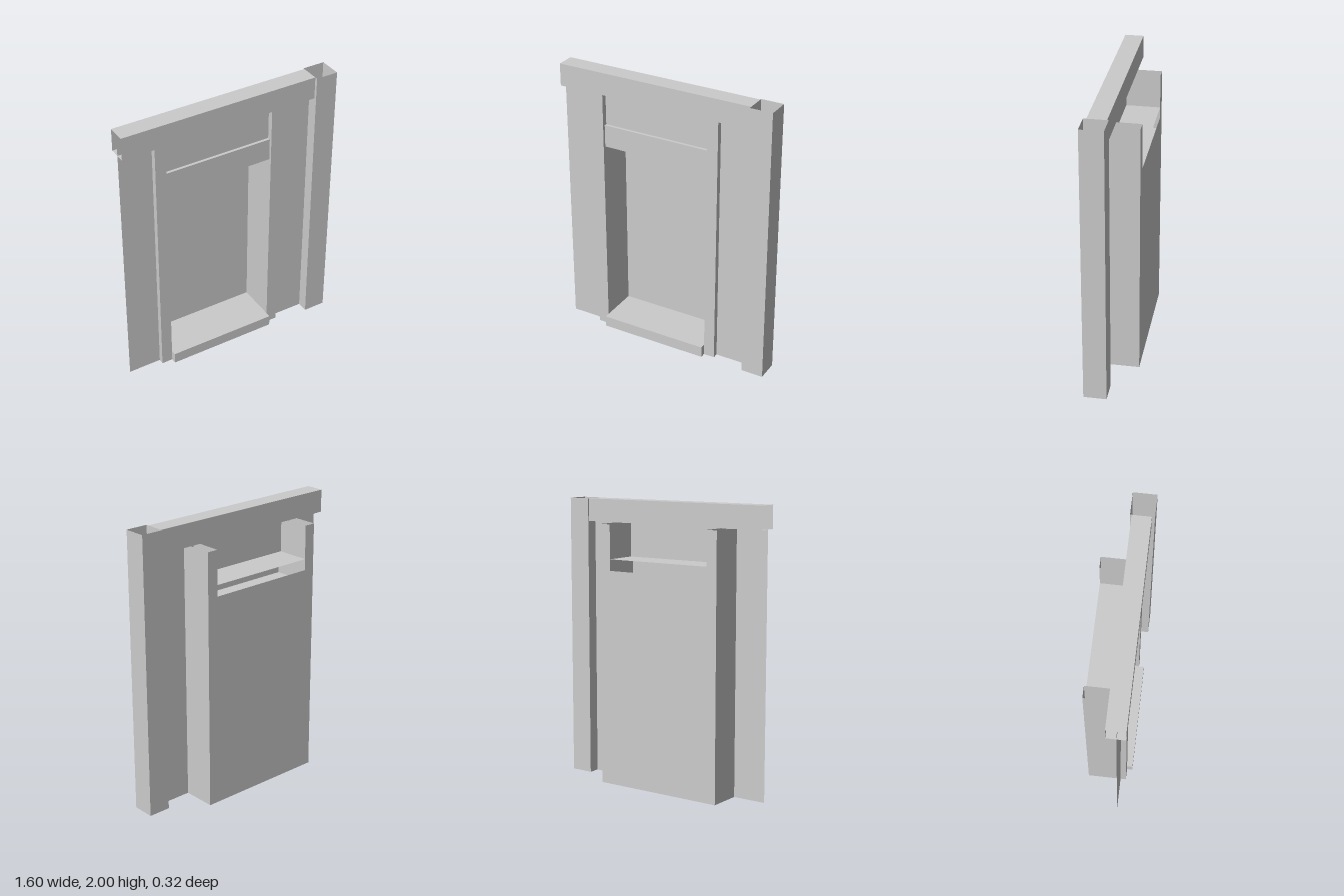
import * as THREE from 'three';

const material = new THREE.MeshStandardMaterial({ color: 0xcccccc, flatShading: true, side: THREE.DoubleSide });
const SIDES = ['right', 'left', 'top', 'bottom', 'front', 'back']; // +x -x +y -y +z -z

// Box between two corners, with the sides in `open` left out.
function openBox(name, [x0, x1], [y0, y1], [z0, z1], open = []) {
  const geometry = new THREE.BoxGeometry(x1 - x0, y1 - y0, z1 - z0);
  const all = Array.from(geometry.index.array);
  const kept = SIDES.flatMap((side, i) => (open.includes(side) ? [] : all.slice(i * 6, i * 6 + 6)));
  geometry.setIndex(kept);
  geometry.clearGroups();
  geometry.translate((x0 + x1) / 2, (y0 + y1) / 2, (z0 + z1) / 2);
  const mesh = new THREE.Mesh(geometry, material);
  mesh.name = name;
  return mesh;
}

// Flat sheet facing +z, from an outline of x, y corners.
function sheet(name, corners, z) {
  const shape = new THREE.Shape(corners.map(([x, y]) => new THREE.Vector2(x, y)));
  const mesh = new THREE.Mesh(new THREE.ShapeGeometry(shape), material);
  mesh.position.z = z;
  mesh.name = name;
  return mesh;
}

export function createModel() {
  const model = new THREE.Group();
  model.name = 'wallSectionWithNiche';

  const niche = [-0.48, 0.32]; // width of the recess
  const depth = -0.16; // back of the recess

  // Thin wall with the niche opening cut up from the floor
  model.add(sheet('wallPanel', [
    [-0.8, 0], [niche[0], 0], [niche[0], 1.6], [niche[1], 1.6],
    [niche[1], 0], [0.64, 0], [0.64, 1.92], [-0.8, 1.92],
  ], 0.08));

  // Hollow column at one end and hollow beam along the top
  model.add(openBox('column', [0.64, 0.8], [0, 2], [0, 0.16], ['top', 'bottom']));
  model.add(openBox('topBeam', [-0.8, 0.64], [1.84, 2], [0.01, 0.14], ['left', 'right']));

  // Jambs on both sides of the niche
  for (const [name, x] of [['rightJamb', niche[0] - 0.08], ['leftJamb', niche[1]]]) {
    model.add(openBox(name, [x, x + 0.08], [0, 1.84], [depth, 0.12], ['top', 'bottom']));
  }

  // Lintel, open towards the back, and the sill
  model.add(openBox('lintel', niche, [1.44, 1.6], [depth, 0.1], ['left', 'right', 'back']));
  model.add(openBox('sill', niche, [0, 0.08], [depth, 0.16], ['back']));

  // Back of the niche, ending short of the lintel top
  model.add(sheet('nicheBack', [
    [niche[0], 0], [niche[0], 1.52], [niche[1], 1.52], [niche[1], 0],
  ].reverse(), depth));

  return model;
}
